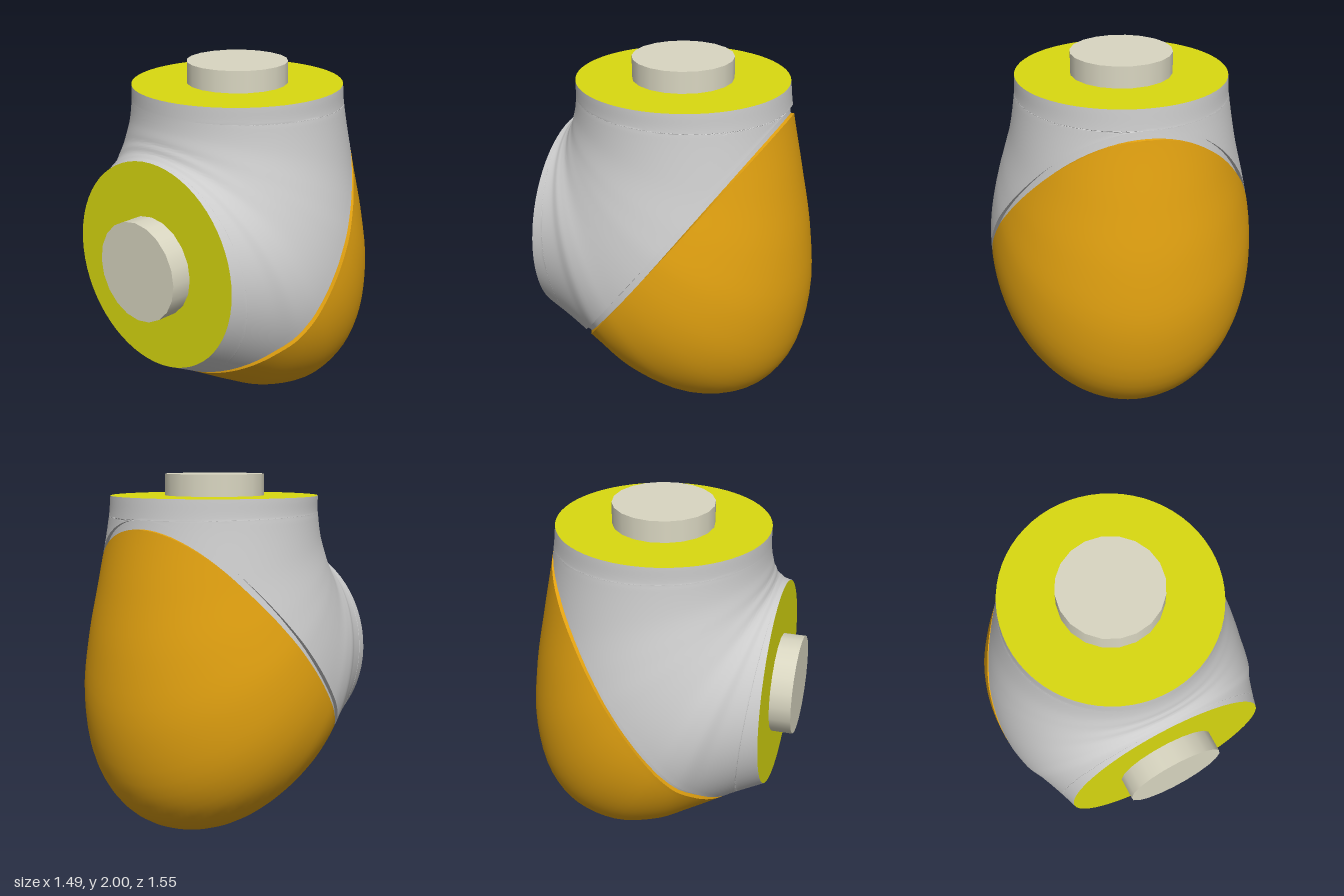
import * as THREE from 'three';
import { toCreasedNormals } from 'three/addons/utils/BufferGeometryUtils.js';

// Cross-sections fanning from the top flange to the front flange:
// [inner z, inner y, outer z, outer y, half width]
const SECTIONS = [
  [0.57, 1.88, -0.605, 1.88, 0.58],
  [0.57, 1.78, -0.62, 1.74, 0.588],
  [0.575, 1.72, -0.69, 1.36, 0.622],
  [0.585, 1.67, -0.75, 1.0, 0.67],
  [0.59, 1.64, -0.768, 0.62, 0.715],
  [0.6, 1.62, -0.69, 0.28, 0.74],
  [0.605, 1.6, -0.53, 0.085, 0.745],
  [0.61, 1.59, -0.28, 0.0, 0.735],
  [0.62, 1.58, 0.0, 0.05, 0.705],
  [0.63, 1.57, 0.2, 0.15, 0.66],
  [0.64, 1.565, 0.48, 0.31, 0.61],
  [0.655, 1.56, 0.655, 0.4, 0.58],
];
const innerCurve = new THREE.CatmullRomCurve3(SECTIONS.map(([z, y, , , w]) => new THREE.Vector3(w, y, z)));
const outerCurve = new THREE.CatmullRomCurve3(SECTIONS.map(([, , z, y]) => new THREE.Vector3(0, y, z)));

// Slanted parting plane between housing and cover
const NORMAL = new THREE.Vector3(0, -0.611, -0.79);
const HOUSING_CUT = -0.592;
const COVER_CUT = -0.556;

// Parameter at which the outer outline crosses the parting plane
function crossing(cut, from) {
  let a = from, b = 0.5;
  for (let i = 0; i < 40; i++) {
    const m = (a + b) / 2;
    if (NORMAL.dot(outerCurve.getPoint(m)) < cut) a = m; else b = m;
  }
  return b;
}

// Section positions, crowded towards the two crossings so the cut edge is smooth
function positions(cut, withEnds) {
  const s0 = crossing(cut, 0), s1 = crossing(cut, 1);
  const list = [];
  if (withEnds) for (let i = 0; i < 10; i++) list.push((s0 * i) / 10);
  for (let i = 0; i <= 56; i++) list.push(s0 + ((s1 - s0) * (1 - Math.cos((Math.PI * i) / 56))) / 2);
  if (withEnds) for (let i = 1; i <= 10; i++) list.push(s1 + ((1 - s1) * i) / 10);
  return list;
}

// Loft of elliptical arcs; part is 'housing', 'cover' or 'core' (whole ring)
function loft(part, cut, scale = 1) {
  const steps = 64, rimScale = 0.95;
  const rows = positions(cut, part !== 'cover');
  const points = [], index = [];
  const cols = steps + 3; // arc plus an inward rim at each end
  for (const s of rows) {
    const inner = innerCurve.getPoint(s);
    const width = inner.x;
    inner.x = 0;
    const centre = inner.clone().add(outerCurve.getPoint(s)).multiplyScalar(0.5);
    const half = inner.sub(centre);
    const ratio = (cut - NORMAL.dot(centre)) / NORMAL.dot(half);
    const split = part === 'core' ? Math.PI : Math.acos(THREE.MathUtils.clamp(ratio, -1, 1));
    const start = part === 'cover' ? split : -split;
    const end = part === 'cover' ? 2 * Math.PI - split : split;
    for (let j = 0; j < cols; j++) {
      const t = THREE.MathUtils.clamp((j - 1) / steps, 0, 1);
      const a = start + (end - start) * t;
      const k = scale * (j === 0 || j === cols - 1 ? rimScale : 1);
      points.push(
        Math.sin(a) * width * k,
        centre.y + half.y * Math.cos(a) * k,
        centre.z + half.z * Math.cos(a) * k
      );
    }
  }
  for (let i = 0; i < rows.length - 1; i++) {
    for (let j = 0; j < cols - 1; j++) {
      const a = i * cols + j, b = a + cols;
      index.push(a, b, a + 1, b, b + 1, a + 1);
    }
  }
  const geometry = new THREE.BufferGeometry();
  geometry.setAttribute('position', new THREE.Float32BufferAttribute(points, 3));
  geometry.setIndex(index);
  return toCreasedNormals(geometry, 0.8);
}

export function createModel() {
  const model = new THREE.Group();
  const material = (color) => new THREE.MeshStandardMaterial({ color, side: THREE.DoubleSide });
  const grey = material(0xcccccc);
  const orange = material(0xe0a010);
  const yellow = material(0xdada10);
  const ivory = material(0xdad7c2);

  function add(name, geometry, mat, parent = model) {
    const mesh = new THREE.Mesh(geometry, mat);
    mesh.name = name;
    parent.add(mesh);
    return mesh;
  }

  // Elbow body: housing, rear cover and the recessed core seen in the groove
  add('housing', loft('housing', HOUSING_CUT), grey);
  add('rearCover', loft('cover', COVER_CUT), orange);
  add('core', loft('core', HOUSING_CUT, 0.97), grey);

  // Flange face with a short shaft stub, built pointing up
  function port(name, depthRadius) {
    const group = new THREE.Group();
    group.name = name;
    const face = add('flangeFace', new THREE.CircleGeometry(1, 64), yellow, group);
    face.rotation.x = -Math.PI / 2;
    face.scale.set(0.58, depthRadius, 1);
    const shaft = add('shaft', new THREE.CylinderGeometry(0.28, 0.28, 0.12, 20), ivory, group);
    shaft.position.y = 0.06;
    model.add(group);
    return group;
  }
  port('topPort', 0.5875).position.set(0, 1.88, -0.0175);
  const front = port('frontPort', 0.58);
  front.position.set(0, 0.98, 0.655);
  front.rotation.x = Math.PI / 2;

  return model;
}
